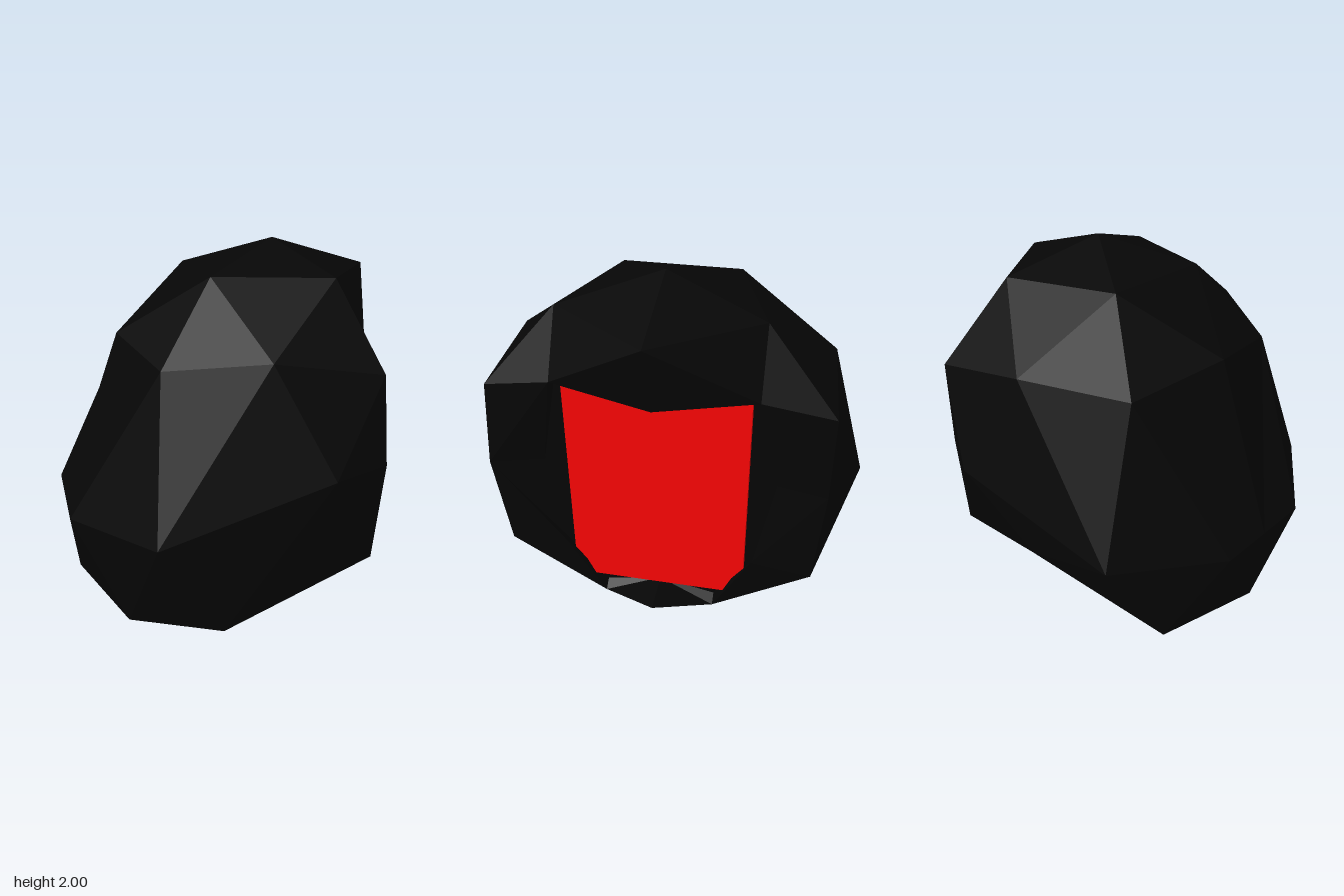
import * as THREE from 'three';

// Sphere vertices (direction x10, either side in z) pulled to sculpted places: x, y, |z|
const MOVED = {
  '0,10,0': [0.32, 2, 0],        // crown
  '0,-10,0': [0.32, 0, 0],       // lowest point
  '9,5,0': [0.84, 1.85, 0],      // brow tip
  '9,-5,0': [0.77, 0.25, 0],     // chin tip
  '0,9,5': [0.48, 1.85, 0.5],    // brow end
  '8,3,5': [0.65, 1.53, 0.5],    // opening, upper corner
  '5,0,9': [0.6, 1.0, 0.85],     // opening, side
  '8,-3,5': [0.65, 0.56, 0.5],   // opening, lower corner
  '5,-8,3': [0.6, 0.16, 0.3],    // jaw
  '3,5,8': [0.6, 1.45, 0.85],    // temple
  '3,-5,8': [0.61, 0.48, 0.81],  // cheek
  '-3,5,8': [0.06, 1.53, 0.82],  // upper flank
  '-3,-5,8': [0.03, 0.54, 0.84], // lower flank
  '0,-9,5': [0.17, 0.125, 0.41], // underside
  '-5,-8,3': [-0.59, 0.11, 0.5], // nape corner
  '-9,-5,0': [-0.79, 0.19, 0],   // nape
  '-10,0,0': [-0.85, 0.63, 0],   // back
  '-8,-3,5': [-0.85, 0.63, 0.3],
  '-9,5,0': [-0.53, 1.53, 0],
  '-8,3,5': [-0.4, 1.45, 0.53],
  '-5,0,9': [-0.49, 0.66, 0.82], // back side
  '-5,8,3': [-0.1, 1.85, 0.31],
};
// The +z side differs slightly
const MOVED_LEFT = { '5,0,9': [0.63, 1, 0.87], '-3,-5,8': [-0.17, 0.19, 0.84] };

const keyOf = (x, y, z) => [x, y, Math.abs(z)].map((v) => `${Math.round(v * 10)}`).join(',');
const movedPoint = (key, side) => (side > 0 && MOVED_LEFT[key]) || MOVED[key];

function place(x, y, z) {
  const side = z < 0 ? -1 : 1;
  const m = movedPoint(keyOf(x, y, z), side);
  return m ? [m[0], m[1], m[2] * side] : [x + 0.32, y + 1, z];
}

// Faces cut away for the opening or replaced by the patches below
const REMOVED = [
  ['10,0,0'], ['8,3,5', '5,0,9', '8,-3,5'], ['9,-5,0', '5,-8,3', '8,-3,5'],
  ['5,8,3'], ['0,-10,0', '-5,-8,3'], ['-8,-3,5', '-3,-5,8'],
];

function shellPositions() {
  const src = new THREE.IcosahedronGeometry(1, 1).rotateY(Math.PI / 2).getAttribute('position');
  const out = [];
  for (let i = 0; i < src.count; i += 3) {
    const tri = [0, 1, 2].map((j) => [src.getX(i + j), src.getY(i + j), src.getZ(i + j)]);
    const keys = tri.map((p) => keyOf(...p));
    if (REMOVED.some((list) => list.every((k) => keys.includes(k)))) continue;
    tri.forEach((p) => out.push(...place(...p)));
  }
  return out;
}

// Triangles given for the +z side (vertex keys or points), mirrored to the other side
function mirrored(triangles) {
  const out = [];
  for (const side of [1, -1]) {
    for (const [a, b, c] of triangles) {
      for (const p of side > 0 ? [a, b, c] : [a, c, b]) {
        const [x, y, z] = typeof p === 'string' ? movedPoint(p, side) : p;
        out.push(x, y, z * side);
      }
    }
  }
  return out;
}

// Brow, keel and back corners
const KEEL = [-0.15, 0.14, 0];
const BROW_UNDER = [0.69, 1.45, 0];
const PATCHES = [
  ['0,10,0', '0,9,5', '9,5,0'],
  ['0,9,5', '3,5,8', '8,3,5'],
  ['0,9,5', '8,3,5', '9,5,0'],
  ['9,5,0', '8,3,5', BROW_UNDER],
  ['-5,-8,3', KEEL, '0,-9,5'],
  [KEEL, '0,-10,0', '0,-9,5'],
  ['-5,-8,3', [-0.59, 0.11, 0], KEEL],
  ['-8,-3,5', '-5,-8,3', '-5,0,9'],
  ['-5,0,9', '-5,-8,3', '-3,-5,8'],
];

// Recess walls and back, from the opening's rim to an inner loop
function recessTriangles() {
  const rim = [BROW_UNDER, '8,3,5', '5,0,9', '8,-3,5', '5,-8,3', '9,-5,0'];
  const inner = [[1.45, 0], [1.53, 0.5], [1, 0.6], [0.46, 0.5], [0.2, 0.3], [0.26, 0]]
    .map(([y, z]) => [0.55, y, z]);
  const out = [];
  for (let i = 0; i < rim.length - 1; i++) {
    out.push(
      [rim[i], rim[i + 1], inner[i + 1]],
      [rim[i], inner[i + 1], inner[i]],
      [[0.55, 1, 0], inner[i], inner[i + 1]],
    );
  }
  return out;
}

function facetedMesh(name, positions, material) {
  const geo = new THREE.BufferGeometry();
  geo.setAttribute('position', new THREE.Float32BufferAttribute(positions, 3));
  geo.computeVertexNormals();
  const mesh = new THREE.Mesh(geo, material);
  mesh.name = name;
  return mesh;
}

export function createModel() {
  const group = new THREE.Group();
  group.name = 'facetedHelmet';
  const dark = new THREE.MeshStandardMaterial({ color: 0x060606, flatShading: true, side: THREE.DoubleSide });
  const red = new THREE.MeshStandardMaterial({ color: 0xff0505, flatShading: true });

  group.add(facetedMesh('shell', [...shellPositions(), ...mirrored(PATCHES)], dark));
  group.add(facetedMesh('faceRecess', mirrored(recessTriangles()), dark));

  // Red face panel set into the recess
  const panel = new THREE.Mesh(new THREE.BoxGeometry(0.2, 1.25, 0.92), red);
  panel.name = 'facePanel';
  panel.position.set(0.5, 0.905, 0);
  group.add(panel);
  return group;
}
